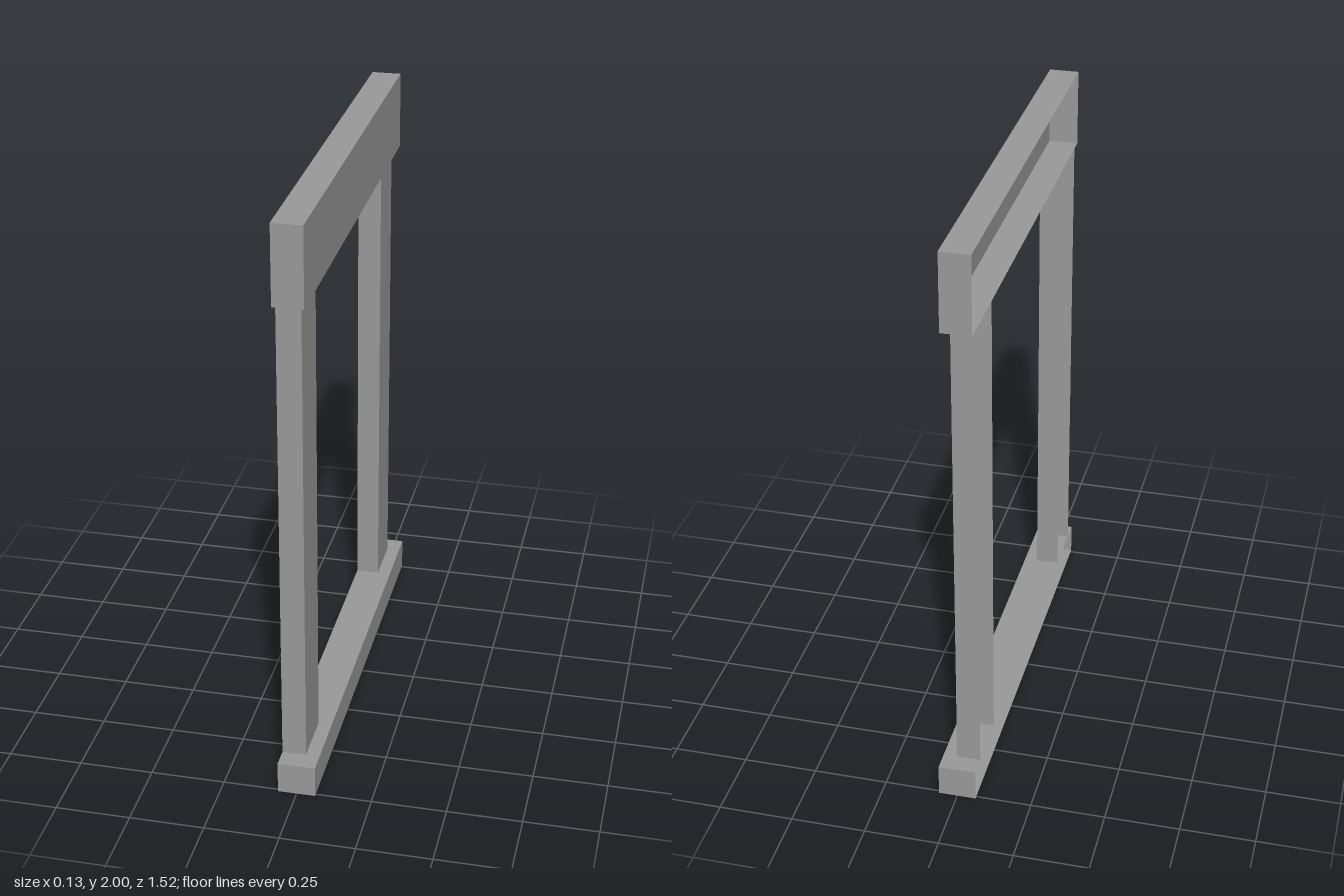
import * as THREE from 'three';

const BACK = -0.063; // shared plane of all the open backs

// Box faces in index order: +x, -x, +y, -y, +z, -z
function openBox(depth, y0, y1, width, skip) {
  const geo = new THREE.BoxGeometry(depth, y1 - y0, width);
  const index = Array.from(geo.index.array).filter((_, i) => !skip.includes(Math.floor(i / 6)));
  geo.setIndex(index);
  geo.clearGroups();
  geo.translate(BACK + depth / 2, (y0 + y1) / 2, 0);
  return geo;
}

export function createModel() {
  const group = new THREE.Group();
  group.name = 'windowSurround';
  const trim = new THREE.MeshStandardMaterial({ color: 0x999999, side: THREE.DoubleSide });
  trim.name = 'trimGrey';

  const add = (name, geo, z = 0) => {
    const mesh = new THREE.Mesh(geo, trim);
    mesh.name = name;
    mesh.position.z = z;
    group.add(mesh);
  };

  // Sill and header: hollow shells without a back
  add('sill', openBox(0.126, 0, 0.11, 1.52, [1]));
  add('header', openBox(0.1, 1.735, 2, 1.48, [1]));

  // Side casings: channels open at the back and at both ends
  for (const side of [1, -1]) {
    add(side > 0 ? 'frontCasing' : 'rearCasing',
      openBox(0.08, 0.11, 1.735, 0.187, [1, 2, 3]), side * 0.598);
  }
  return group;
}
